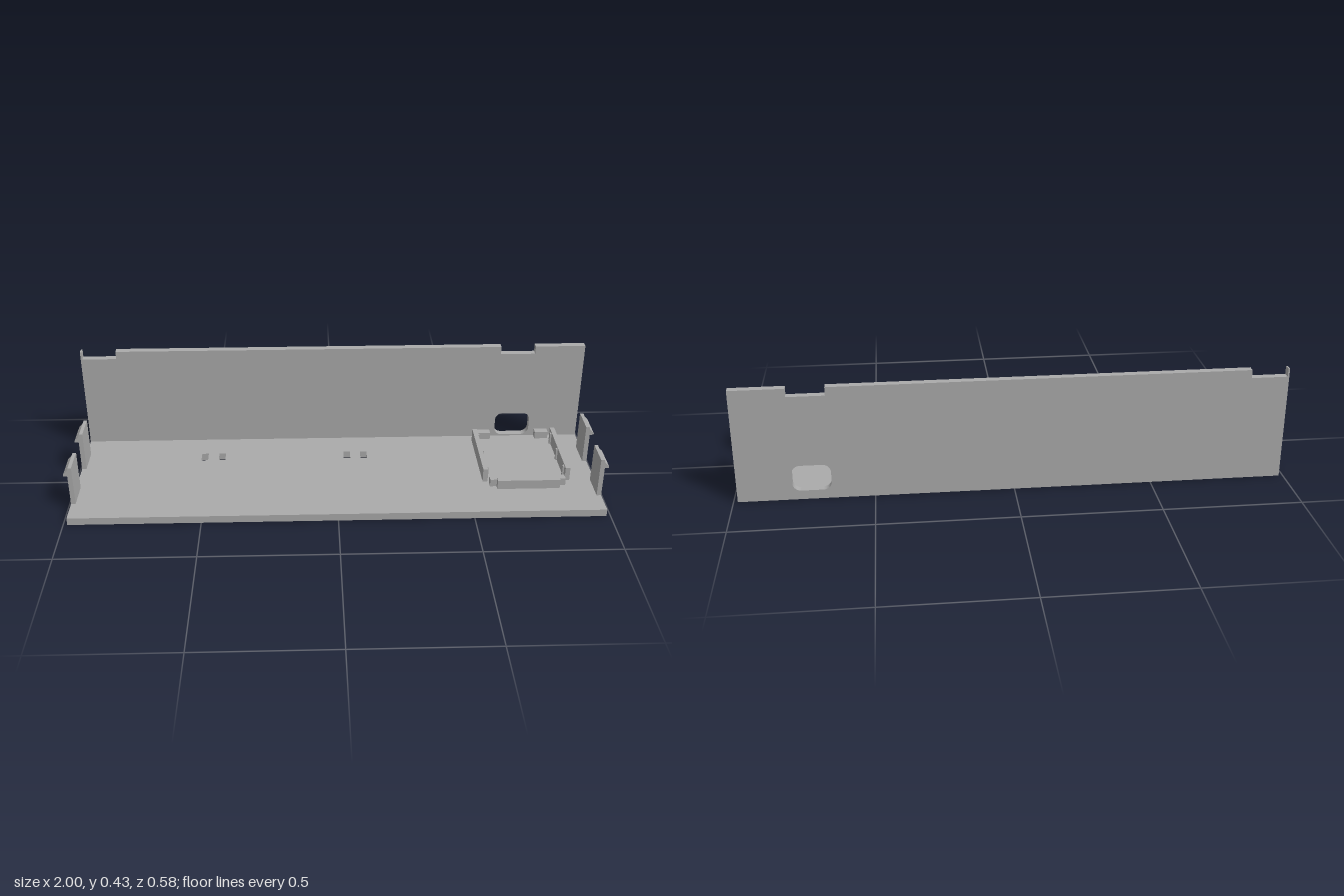
import * as THREE from 'three';

const grey = new THREE.MeshStandardMaterial({ color: 0xaaaaaa });
grey.name = 'grey plastic';

// Rounded rectangle traced as a path, used for openings
function roundedRect(x0, y0, x1, y1, r) {
  const p = new THREE.Path();
  p.moveTo(x0 + r, y0);
  p.lineTo(x1 - r, y0);
  p.absarc(x1 - r, y0 + r, r, -Math.PI / 2, 0);
  p.lineTo(x1, y1 - r);
  p.absarc(x1 - r, y1 - r, r, 0, Math.PI / 2);
  p.lineTo(x0 + r, y1);
  p.absarc(x0 + r, y1 - r, r, Math.PI / 2, Math.PI);
  p.lineTo(x0, y0 + r);
  p.absarc(x0 + r, y0 + r, r, Math.PI, Math.PI * 1.5);
  return p;
}

const polygon = (points) => new THREE.Shape(points.map(([x, y]) => new THREE.Vector2(x, y)));

const extrude = (shape, depth) =>
  new THREE.ExtrudeGeometry(shape, { depth, bevelEnabled: false, curveSegments: 8 });

export function createModel() {
  const model = new THREE.Group();
  model.name = 'enclosureTray';

  const add = (name, geometry, parent = model) => {
    const mesh = new THREE.Mesh(geometry, grey);
    mesh.name = name;
    parent.add(mesh);
    return mesh;
  };
  // Box given by its extents
  const addBox = (name, x0, x1, y0, y1, z0, z1, parent) =>
    add(name, new THREE.BoxGeometry(x1 - x0, y1 - y0, z1 - z0), parent)
      .position.set((x0 + x1) / 2, (y0 + y1) / 2, (z0 + z1) / 2);

  const W = 0.985, D = 0.291, floorY = 0.028, recess = 0.015;

  // Floor in two layers: tie slots go through both, the oval recess only through the lower
  const floorLayer = (name, y0, y1, extraHoles) => {
    const shape = polygon([[-W, -D], [W, -D], [W, D], [-W, D]]);
    for (const x of [-0.514, -0.446, 0.046, 0.112]) {
      const slot = new THREE.Path();
      slot.moveTo(x - 0.013, -0.153);
      slot.lineTo(x + 0.013, -0.153);
      slot.lineTo(x + 0.013, -0.103);
      slot.lineTo(x - 0.013, -0.103);
      shape.holes.push(slot);
    }
    shape.holes.push(...extraHoles);
    add(name, extrude(shape, y1 - y0).rotateX(Math.PI / 2).translate(0, y1, 0));
  };
  floorLayer('floorTop', recess, floorY, []);
  floorLayer('floorBottom', 0, recess, [roundedRect(-0.455, -0.02, -0.225, 0.05, 0.034)]);

  // Back wall with two top notches and a rounded port opening
  const top = 0.427, notch = 0.396;
  const wall = polygon([
    [-W, floorY], [W, floorY], [W, top], [0.79, top], [0.79, notch], [0.655, notch], [0.655, top],
    [-0.848, top], [-0.848, notch], [-W + 0.006, notch], [-W + 0.006, top], [-W, top],
  ]);
  wall.holes.push(roundedRect(0.652, 0.034, 0.79, 0.132, 0.03));
  add('backWall', extrude(wall, 0.027).translate(0, 0, -D));

  // Snap clips on both ends, with an outward hook
  const clip = polygon([
    [0.968, floorY], [W, floorY], [W, 0.146], [1, 0.148], [1, 0.154],
    [W, 0.169], [W - 0.004, 0.181], [0.968, 0.181],
  ]);
  for (const z of [0.083, -0.163]) {
    add('leftClip', extrude(clip, 0.111).translate(0, 0, z));
    add('rightClip', extrude(clip, 0.111).rotateY(Math.PI).translate(0, 0, z + 0.111));
  }

  // Board holder on the floor
  const holder = new THREE.Group();
  holder.name = 'boardHolder';
  model.add(holder);
  const centre = 0.722;
  for (const s of [-1, 1]) {
    const span = (a, b) => [centre + s * a, centre + s * b].sort((p, q) => p - q);
    addBox('sideRail', ...span(0.148, 0.166), floorY, 0.081, -0.228, 0.084, holder);
    addBox('rearStop', ...span(0.091, 0.143), floorY, 0.057, -0.264, -0.236, holder);
    for (const z of [-0.193, -0.07, 0.055])
      addBox('railRib', ...span(0.142, 0.148), floorY, 0.075, z - 0.006, z + 0.006, holder);
  }
  addBox('frontBar', 0.579, 0.865, floorY, 0.057, 0.092, 0.12, holder);
  addBox('frontLip', 0.604, 0.84, floorY, 0.064, 0.12, 0.14, holder);

  return model;
}
